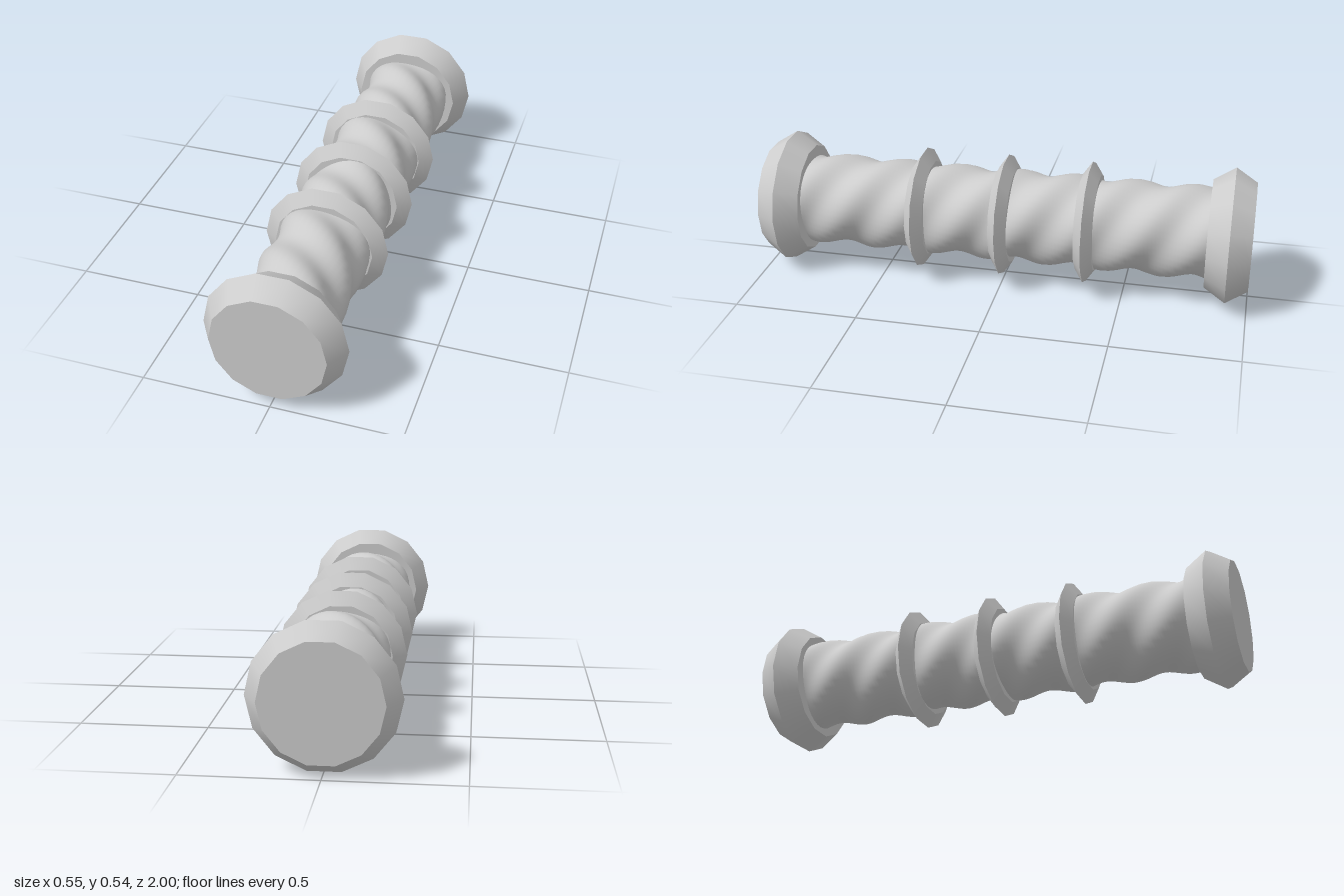
import * as THREE from 'three';

const SIDES = 14;
const AXIS_Y = 0.269;
const metal = new THREE.MeshStandardMaterial({ color: 0xcccccc });
metal.name = 'lightGrey';

// Two frusta back to back: a bevelled disc with a sharp rim, axis along z
function bevelledDisc(name, z, halfDepth, rimRadius, faceRadius) {
  const group = new THREE.Group();
  group.name = name;
  for (const dir of [1, -1]) {
    const outer = dir > 0 ? faceRadius : rimRadius;
    const inner = dir > 0 ? rimRadius : faceRadius;
    const geo = new THREE.CylinderGeometry(outer, inner, halfDepth, SIDES, 1, false, Math.PI / 2);
    geo.rotateX(Math.PI / 2);
    geo.translate(0, 0, dir * halfDepth / 2);
    const mesh = new THREE.Mesh(geo, metal);
    mesh.name = dir > 0 ? 'frontBevel' : 'backBevel';
    group.add(mesh);
  }
  group.position.z = z;
  return group;
}

// Smooth rod whose surface is twisted into three shallow strands
function twistedGrip() {
  const length = 1.72, radius = 0.181, depth = 0.011, pitch = 0.24;
  const geo = new THREE.CylinderGeometry(radius, radius, length, 42, 120, true);
  geo.rotateX(Math.PI / 2);
  const pos = geo.attributes.position;
  const nor = geo.attributes.normal;
  const k = 2 * Math.PI / pitch;
  const radial = new THREE.Vector3(), around = new THREE.Vector3(), n = new THREE.Vector3();
  for (let i = 0; i < pos.count; i++) {
    const z = pos.getZ(i);
    const angle = Math.atan2(pos.getY(i), pos.getX(i));
    const phase = k * z + 3 * angle + Math.PI / 2;
    const r = radius + depth * Math.cos(phase);
    const slope = -depth * Math.sin(phase);
    radial.set(Math.cos(angle), Math.sin(angle), 0);
    around.set(-Math.sin(angle), Math.cos(angle), 0);
    pos.setXYZ(i, r * radial.x, r * radial.y, z);
    // Exact normal keeps the seam smooth
    n.copy(radial).addScaledVector(around, -3 * slope / r);
    n.z = -k * slope;
    n.normalize();
    nor.setXYZ(i, n.x, n.y, n.z);
  }
  const mesh = new THREE.Mesh(geo, metal);
  mesh.name = 'twistedGrip';
  return mesh;
}

export function createModel() {
  const model = new THREE.Group();
  model.name = 'ribbedHandle';
  const body = new THREE.Group();
  body.name = 'handleBody';
  body.position.y = AXIS_Y;
  model.add(body);

  body.add(twistedGrip());

  // End caps
  body.add(bevelledDisc('frontCap', 0.914, 0.086, 0.275, 0.221));
  body.add(bevelledDisc('backCap', -0.914, 0.086, 0.275, 0.221));

  // Guard rings along the grip
  ['backRing', 'middleRing', 'frontRing'].forEach((name, i) => {
    body.add(bevelledDisc(name, (i - 1) * 0.345, 0.037, 0.25, 0.197));
  });

  return model;
}
